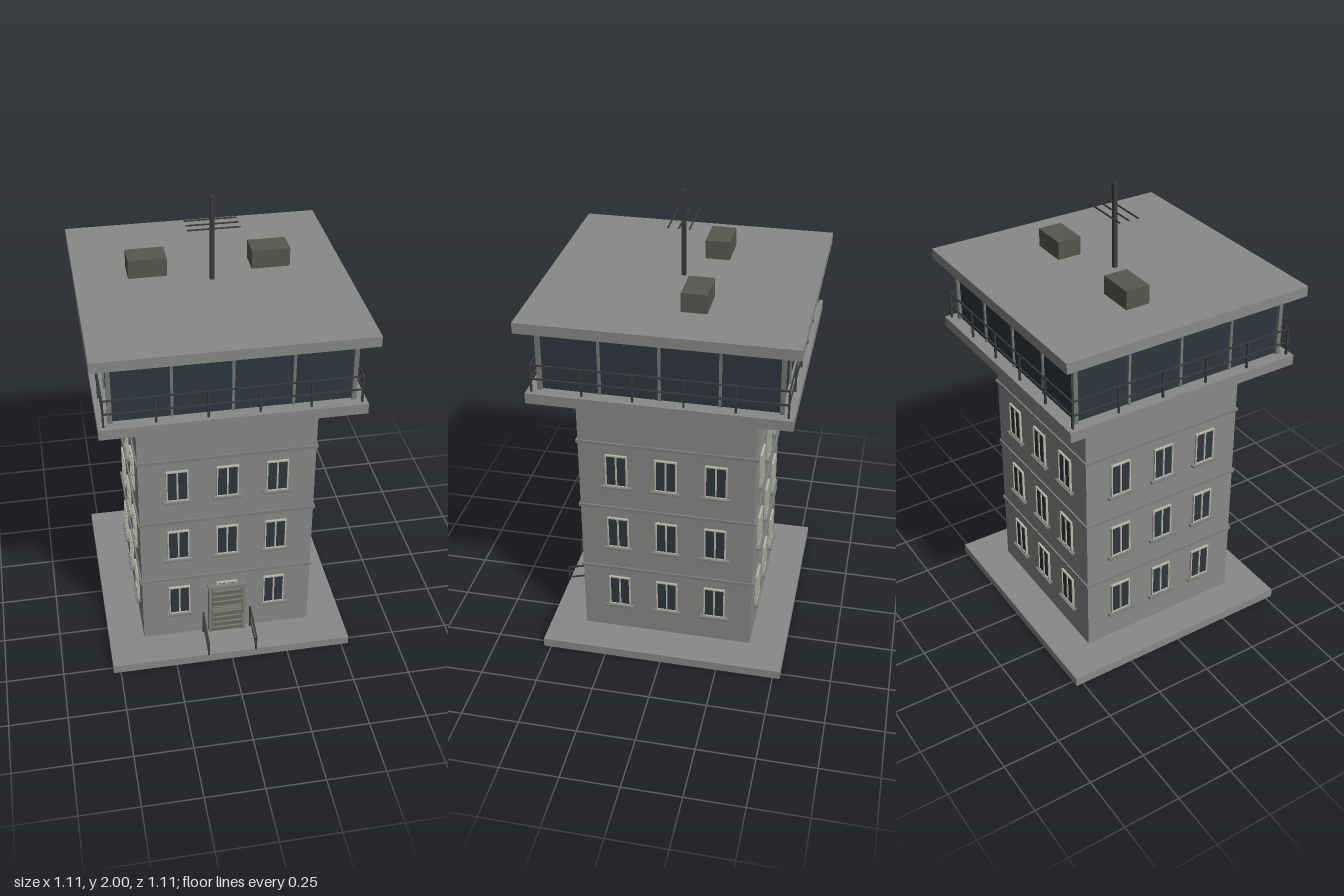
import * as THREE from 'three';

const material = (name, color) => {
  const m = new THREE.MeshStandardMaterial({ color });
  m.name = name;
  return m;
};
const concrete = material('concrete', 0x888a87);
const trim = material('trim concrete', 0x7d7f7d);
const mullionGrey = material('mullion grey', 0x757774);
const glass = material('dark glass', 0x2d363e);
const frameMat = material('window frame', 0xb9b7a6);
const metal = material('dark metal', 0x393b3c);
const unitMat = material('roof unit', 0x57574f);
const doorMat = material('door', 0x6a6a5f);
const slatMat = material('door slat', 0x85847a);

// Box given by its centre and size
function box(parent, name, mat, x, y, z, w, h, d) {
  const mesh = new THREE.Mesh(new THREE.BoxGeometry(w, h, d), mat);
  mesh.position.set(x, y, z);
  mesh.name = name;
  parent.add(mesh);
  return mesh;
}

// Square slab given by half width and vertical extent
const slab = (parent, name, mat, half, y0, y1) =>
  box(parent, name, mat, 0, (y0 + y1) / 2, 0, 2 * half, y1 - y0, 2 * half);

// Thin square bar between two points
function bar(parent, name, mat, a, b, t) {
  const from = new THREE.Vector3(...a), to = new THREE.Vector3(...b);
  const mesh = box(parent, name, mat, 0, 0, 0, t, t, from.distanceTo(to));
  mesh.position.copy(from).add(to).multiplyScalar(0.5);
  mesh.lookAt(to);
  return mesh;
}

// Two-pane window with a frame and sill, on a wall facing +z
function addWindow(parent, x, bottom) {
  const g = new THREE.Group();
  g.name = 'window';
  g.position.set(x, bottom, 0.375);
  const h = 0.155, w = 0.094, t = 0.006;
  box(g, 'windowGlass', glass, 0, h / 2, 0.002, w - t, h - t, 0.006);
  for (const s of [-1, 1])
    box(g, 'frameSide', frameMat, s * (w - t) / 2, h / 2, 0.005, t, h, 0.01);
  box(g, 'frameTop', frameMat, 0, h - t / 2, 0.005, w, t, 0.01);
  box(g, 'frameBottom', frameMat, 0, t / 2, 0.005, w, t, 0.01);
  box(g, 'frameCentre', frameMat, 0, h / 2, 0.005, 0.007, h, 0.01);
  box(g, 'windowSill', trim, 0, -0.004, 0.009, 0.125, 0.01, 0.02);
  parent.add(g);
}

// One of the four identical sides: windows, cabin glazing and deck railing
function buildSide(angle) {
  const side = new THREE.Group();
  side.name = 'towerSide';
  side.rotation.y = angle;
  for (const y of [0.17, 0.49, 0.81])
    for (const x of [-0.212, 0, 0.212]) addWindow(side, x, y);

  for (const x of [-0.24, 0, 0.24])
    box(side, 'cabinMullion', mullionGrey, x, 1.4525, 0.478, 0.011, 0.275, 0.014);
  box(side, 'cabinCornerPost', mullionGrey, 0.482, 1.4525, 0.482, 0.018, 0.275, 0.018);

  for (let i = 0; i < 5; i++)
    box(side, 'railingPost', metal, -0.51 + i * 0.204, 1.375, 0.51, 0.008, 0.12, 0.008);
  for (const y of [1.372, 1.433])
    box(side, 'railingBar', metal, 0, y, 0.51, 1.026, 0.006, 0.006);
  return side;
}

function buildEntrance() {
  const g = new THREE.Group();
  g.name = 'entrance';
  box(g, 'doorPanel', doorMat, 0, 0.17, 0.383, 0.144, 0.26, 0.018);
  for (const s of [-1, 1])
    box(g, 'doorJamb', trim, s * 0.076, 0.17, 0.385, 0.014, 0.26, 0.024);
  box(g, 'doorHeader', trim, 0, 0.304, 0.387, 0.17, 0.018, 0.028);
  for (let i = 0; i < 8; i++)
    box(g, 'doorSlat', slatMat, 0, 0.065 + i * 0.031, 0.393, 0.13, 0.006, 0.005);
  box(g, 'doorMiddleRail', slatMat, 0, 0.174, 0.393, 0.136, 0.012, 0.006);

  // Sloping handrails either side of the door
  for (const x of [-0.107, 0.107]) {
    bar(g, 'handrailFrontPost', metal, [x, 0.04, 0.532], [x, 0.115, 0.532], 0.007);
    bar(g, 'handrailWallPost', metal, [x, 0.04, 0.386], [x, 0.158, 0.386], 0.007);
    bar(g, 'handrail', metal, [x, 0.114, 0.534], [x, 0.155, 0.386], 0.007);
    bar(g, 'lowerHandrail', metal, [x, 0.055, 0.534], [x, 0.097, 0.386], 0.006);
  }
  return g;
}

function buildRoofEquipment() {
  const g = new THREE.Group();
  g.name = 'roofEquipment';
  for (const x of [-0.256, 0.256])
    box(g, 'roofUnit', unitMat, x, 1.675, -0.108, 0.16, 0.08, 0.105);
  box(g, 'antennaMast', metal, 0, 1.8175, 0, 0.016, 0.365, 0.016);
  for (const z of [-0.043, 0, 0.043])
    box(g, 'antennaCrossbar', metal, 0, 1.88, z, 0.212, 0.005, 0.005);
  return g;
}

export function createModel() {
  const model = new THREE.Group();
  model.name = 'controlTower';

  slab(model, 'base', concrete, 0.532, 0, 0.04);
  slab(model, 'towerShaft', concrete, 0.375, 0.04, 1.27);
  for (const y of [0.372, 0.694, 1.016])
    slab(model, 'floorBand', trim, 0.382, y - 0.007, y + 0.007);
  slab(model, 'deck', concrete, 0.532, 1.27, 1.315);
  slab(model, 'cabinGlass', glass, 0.477, 1.315, 1.59);
  slab(model, 'roof', concrete, 0.555, 1.59, 1.635);

  for (let i = 0; i < 4; i++) model.add(buildSide(i * Math.PI / 2));
  model.add(buildEntrance(), buildRoofEquipment());
  return model;
}
